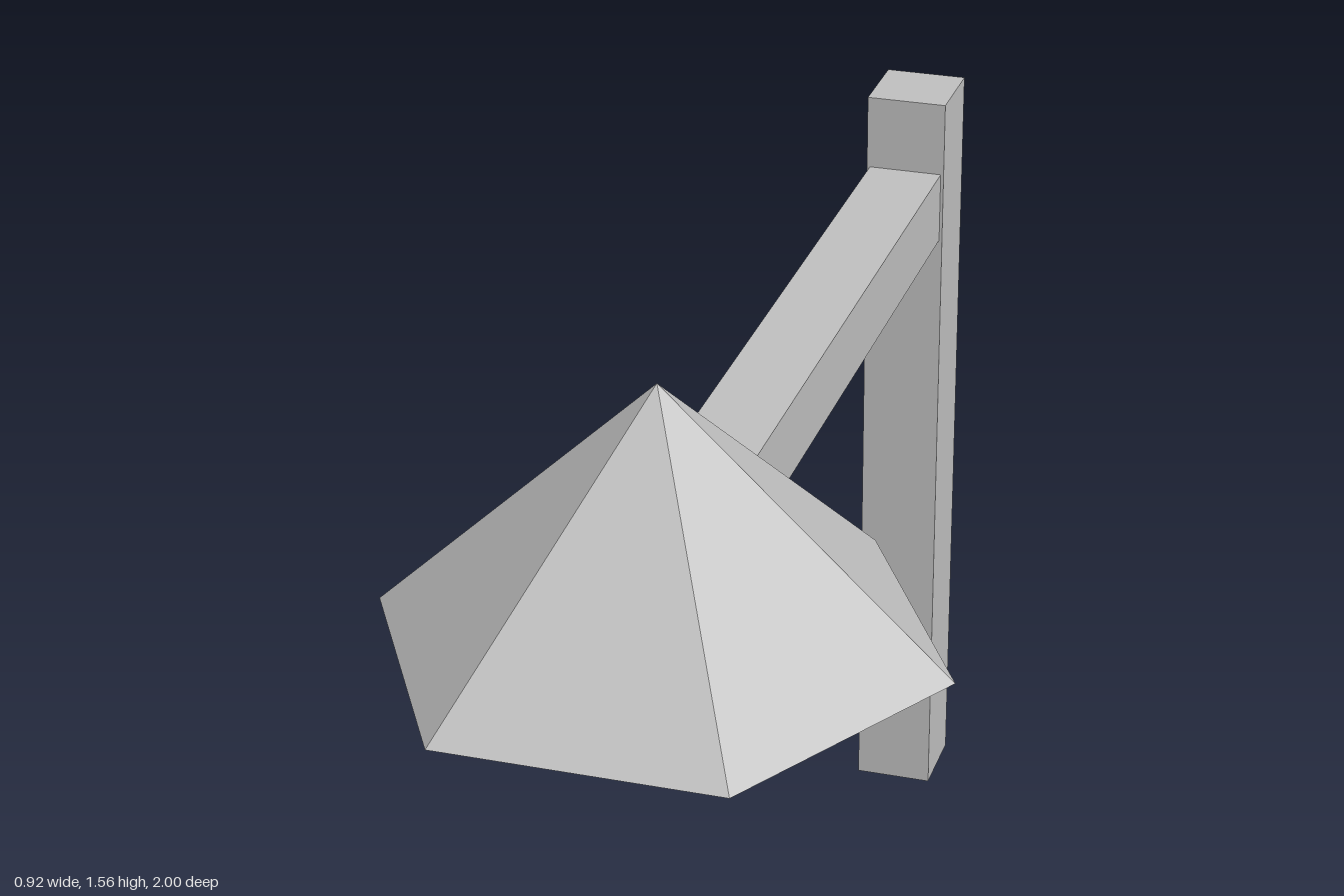
import * as THREE from 'three';

const grey = new THREE.MeshStandardMaterial({ color: 0xc0c0c0 });
grey.name = 'grey';

export function createModel() {
  const model = new THREE.Group();
  model.name = 'lampPost';

  const add = (name, geometry, x, y, z) => {
    const mesh = new THREE.Mesh(geometry, grey);
    mesh.name = name;
    mesh.position.set(x, y, z);
    model.add(mesh);
  };

  // Square upright post at the back
  const postHeight = 1.445;
  add('post', new THREE.BoxGeometry(0.145, postHeight, 0.145), 0, postHeight / 2, -0.9275);

  // Horizontal arm, running from inside the post into the shade
  const armBack = -0.9, armFront = 0.5;
  add('arm', new THREE.BoxGeometry(0.134, 0.13, armFront - armBack), 0, 1.245, (armBack + armFront) / 2);

  // Six-sided closed shade with corners on the x axis; toNonIndexed keeps facets flat
  const shadeBottom = 1.127, shadeTop = 1.56;
  const shade = new THREE.ConeGeometry(0.46, shadeTop - shadeBottom, 6, 1, false, Math.PI / 6).toNonIndexed();
  shade.computeVertexNormals();
  add('shade', shade, 0, (shadeBottom + shadeTop) / 2, 0.602);

  return model;
}
